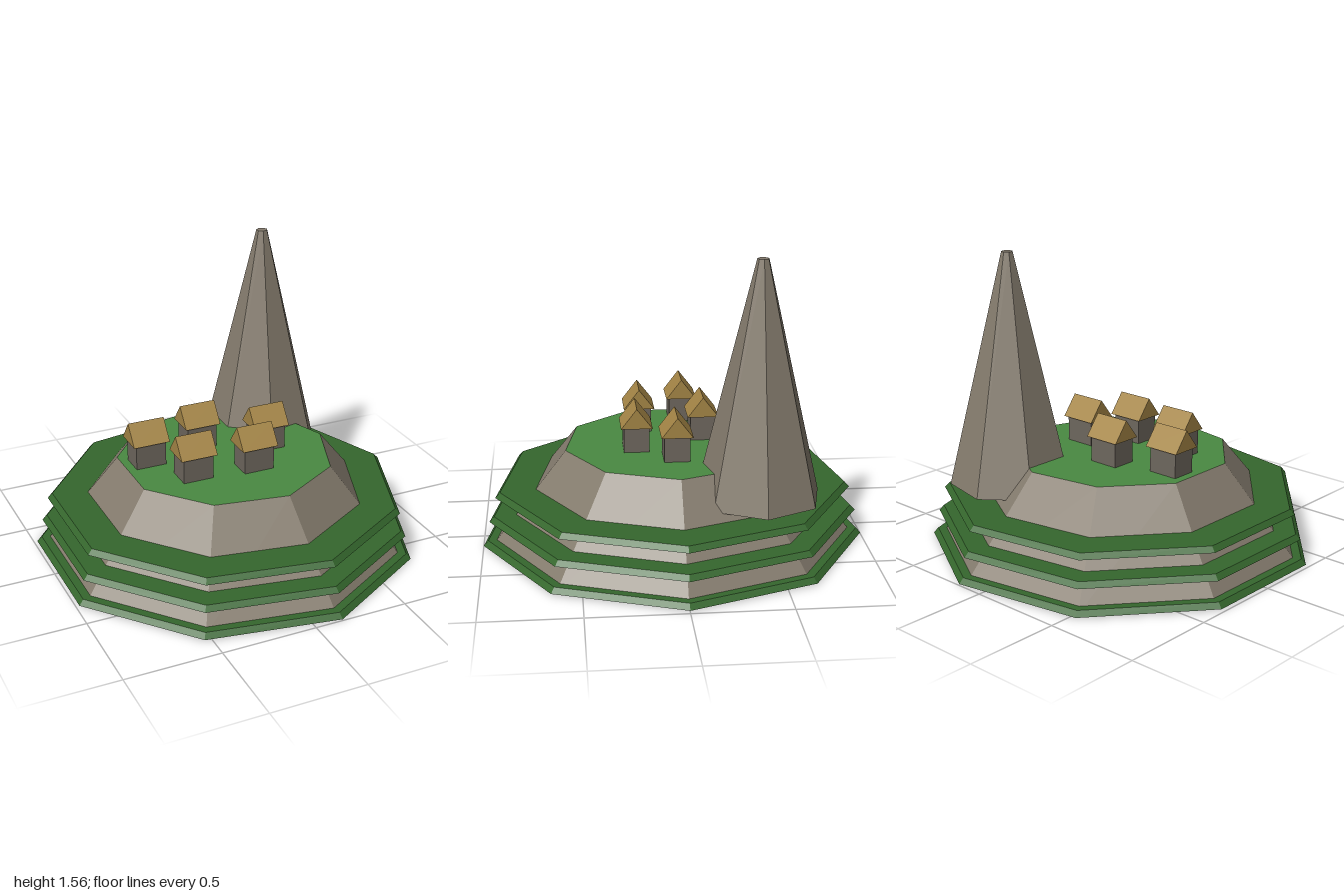
import * as THREE from 'three';

const mat = (name, color, side = THREE.FrontSide) =>
  new THREE.MeshStandardMaterial({ name, color, side, flatShading: true });

export function createModel() {
  const stone = mat('stone', 0x857c6e, THREE.DoubleSide);
  const wallStone = mat('wall stone', 0x6e675e);
  const grass = mat('grass', 0x4a8a42);
  const terraceGreen = mat('terrace green', 0x35672d, THREE.DoubleSide);
  const thatch = mat('thatch', 0xa58646);

  const model = new THREE.Group();
  model.name = 'hillVillage';

  const add = (parent, name, geometry, material, x, y, z) => {
    const mesh = new THREE.Mesh(geometry, material);
    mesh.name = name;
    mesh.position.set(x, y, z);
    parent.add(mesh);
    return mesh;
  };

  // Tapered prism standing on its base, with one corner on the +x axis
  const frustum = (top, bottom, height, sides, open) =>
    new THREE.CylinderGeometry(top, bottom, height, sides, 1, open, Math.PI / 2)
      .translate(0, height / 2, 0);
  const disc = (radius, sides) =>
    new THREE.CircleGeometry(radius, sides).rotateX(-Math.PI / 2);

  // Hill: open sloping sides and a grass plateau
  const SIDES = 9, CX = -0.03, TOP = 0.495;
  add(model, 'hillSides', frustum(0.57, 0.972, TOP, SIDES, true), stone, CX, 0, 0);
  add(model, 'plateau', disc(0.57, SIDES), grass, CX, TOP, 0);

  // Three green terraces, each a sloped rim under a flat top
  for (let i = 0; i < 3; i++) {
    const radius = 1.015 - i * 0.035, y = 0.007 + i * 0.131, height = 0.027;
    const terrace = new THREE.Group();
    terrace.name = 'terrace' + (i + 1);
    terrace.position.set(CX, y, 0);
    add(terrace, 'terraceRim', frustum(radius - 0.025, radius, height, SIDES, true), terraceGreen, 0, 0, 0);
    add(terrace, 'terraceTop', disc(radius - 0.025, SIDES), terraceGreen, 0, height, 0);
    model.add(terrace);
  }

  // Tall rock spire at the back
  add(model, 'spire', frustum(0.03, 0.325, 1.225, 7, false), stone, 0.377, 0.333, -0.41);

  // Houses: box walls under a gable roof with its ridge along x
  const wallGeometry = new THREE.BoxGeometry(0.164, 0.134, 0.132).translate(0, 0.067, 0);
  const gable = new THREE.Shape([
    new THREE.Vector2(-0.082, 0),
    new THREE.Vector2(0.082, 0),
    new THREE.Vector2(0, 0.107),
  ]);
  const roofGeometry = new THREE.ExtrudeGeometry(gable, { depth: 0.197, bevelEnabled: false })
    .translate(0, 0, -0.0985)
    .rotateY(Math.PI / 2);
  const places = [[-0.44, -0.083], [-0.115, -0.168], [0.21, -0.003], [-0.278, 0.16], [0.048, 0.193]];
  places.forEach(([x, z], i) => {
    const house = new THREE.Group();
    house.name = 'house' + (i + 1);
    house.position.set(x, TOP, z);
    add(house, 'walls', wallGeometry, wallStone, 0, 0, 0);
    add(house, 'roof', roofGeometry, thatch, 0, 0.132, 0);
    model.add(house);
  });

  return model;
}
